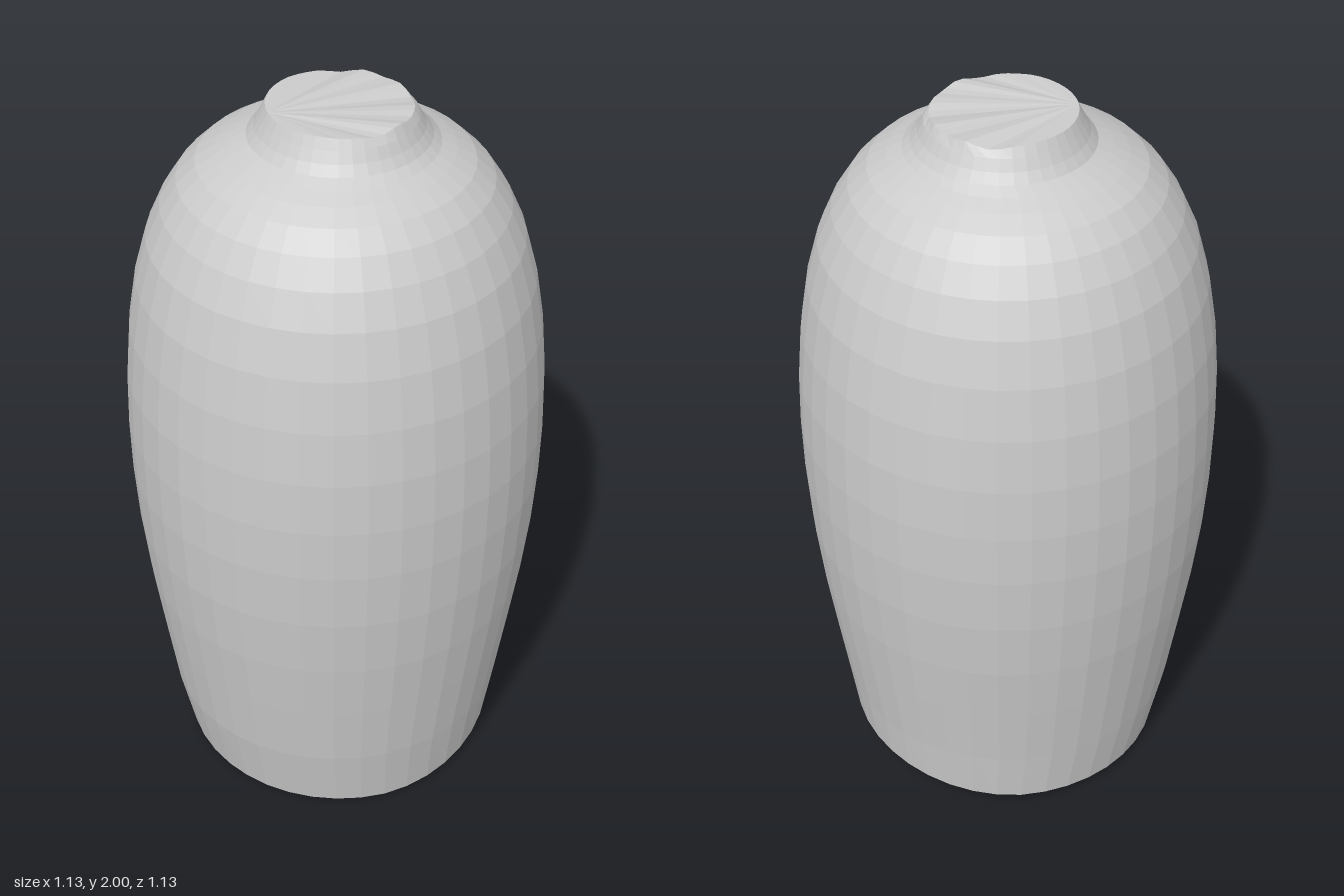
import * as THREE from 'three';

const SIDES = 40;
const POCKET_TOP = 1.0;

// Outer profile: radius, height
const PROFILE = [
  [0.443, 0], [0.473, 0.2], [0.503, 0.4], [0.529, 0.58], [0.549, 0.76], [0.56, 0.93],
  [0.563, 1.08], [0.559, 1.23], [0.546, 1.38], [0.523, 1.52], [0.49, 1.64],
  [0.45, 1.73], [0.405, 1.8], [0.355, 1.85], [0.305, 1.88], [0.265, 1.9],
  [0.235, 1.918], [0.216, 1.943], [0.2, 1.972], [0.186, 2],
];

// Pocket outline in the underside: x, z
const POCKET = [
  [0.365, 0.19], [0.365, -0.116], [0.283, -0.14], [0.29, -0.2], [0.31, -0.26], [-0.264, -0.31],
  [-0.275, -0.25], [-0.3, -0.25], [-0.3, -0.16], [-0.345, -0.155], [-0.355, 0.147],
];

// Height of the uneven lower edge
const footHeight = (x, z) => Math.max(0, 0.015 - 0.033 * z + 0.051 * Math.pow(Math.max(0, x) / 0.44, 1.5));

// Height of the roughly broken neck edge, intact on the left end
function neckHeight(x, z) {
  const a = Math.atan2(z, x);
  const rough = 0.5 + 0.5 * Math.sin(a * 7 + 1.2) * Math.cos(a * 3);
  return 2 - 0.016 * rough * THREE.MathUtils.smoothstep(x, -0.1, 0.1);
}

function addMesh(group, name, geometry, side = THREE.FrontSide) {
  geometry.computeVertexNormals();
  const material = new THREE.MeshStandardMaterial({ color: 0xcccccc, flatShading: true, side });
  const mesh = new THREE.Mesh(geometry, material);
  mesh.name = name;
  group.add(mesh);
}

function indexed(points, index) {
  const g = new THREE.BufferGeometry();
  g.setAttribute('position', new THREE.Float32BufferAttribute(points.flat(), 3));
  g.setIndex(index);
  return g;
}

export function createModel() {
  const vase = new THREE.Group();
  vase.name = 'vase';

  // Body: turned shell with uneven lower and upper edges
  const body = new THREE.LatheGeometry(PROFILE.map(([r, y]) => new THREE.Vector2(r, y)), SIDES);
  const pos = body.attributes.position;
  const rows = PROFILE.length;
  const foot = [], neck = [];
  for (let i = 0; i < pos.count; i++) {
    const row = i % rows;
    const first = i < SIDES * rows;
    let x = pos.getX(i), z = pos.getZ(i);
    if (row === 0) {
      x += 0.01;
      z -= 0.007;
      pos.setXYZ(i, x, footHeight(x, z), z);
      if (first) foot.push(new THREE.Vector2(x, z));
    } else if (row >= rows - 4) {
      x += 0.01;
      pos.setX(i, x);
      if (row === rows - 1) {
        pos.setY(i, neckHeight(x, z));
        if (first) neck.push([x, pos.getY(i), z]);
      }
    }
  }
  addMesh(vase, 'body', body);

  // Neck cap: creased fan spreading from the left end of the rim
  const apex = neck.reduce((best, p, i) => (p[0] < neck[best][0] ? i : best), 0);
  const fan = [];
  for (let k = 1; k < SIDES - 1; k++) {
    fan.push(apex, (apex + k) % SIDES, (apex + k + 1) % SIDES);
  }
  addMesh(vase, 'neckCap', indexed(neck, fan), THREE.DoubleSide);

  // Base: downward face around the pocket opening
  const outline = POCKET.map(([x, z]) => new THREE.Vector2(x, z));
  const baseShape = new THREE.Shape(foot);
  baseShape.holes.push(new THREE.Path(outline));
  const base = new THREE.ShapeGeometry(baseShape).rotateX(Math.PI / 2);
  const bp = base.attributes.position;
  for (let i = 0; i < bp.count; i++) bp.setY(i, footHeight(bp.getX(i), bp.getZ(i)));
  addMesh(vase, 'base', base, THREE.DoubleSide);

  // Pocket: upright walls and a flat ceiling
  const wallPoints = [], wallIndex = [];
  POCKET.forEach(([x, z], i) => {
    wallPoints.push([x, footHeight(x, z), z], [x, POCKET_TOP, z]);
    const a = i * 2, b = ((i + 1) % POCKET.length) * 2;
    wallIndex.push(a, b, a + 1, b, b + 1, a + 1);
  });
  addMesh(vase, 'pocketWalls', indexed(wallPoints, wallIndex), THREE.DoubleSide);
  const ceiling = new THREE.ShapeGeometry(new THREE.Shape(outline)).rotateX(Math.PI / 2);
  addMesh(vase, 'pocketCeiling', ceiling.translate(0, POCKET_TOP, 0), THREE.DoubleSide);

  return vase;
}
